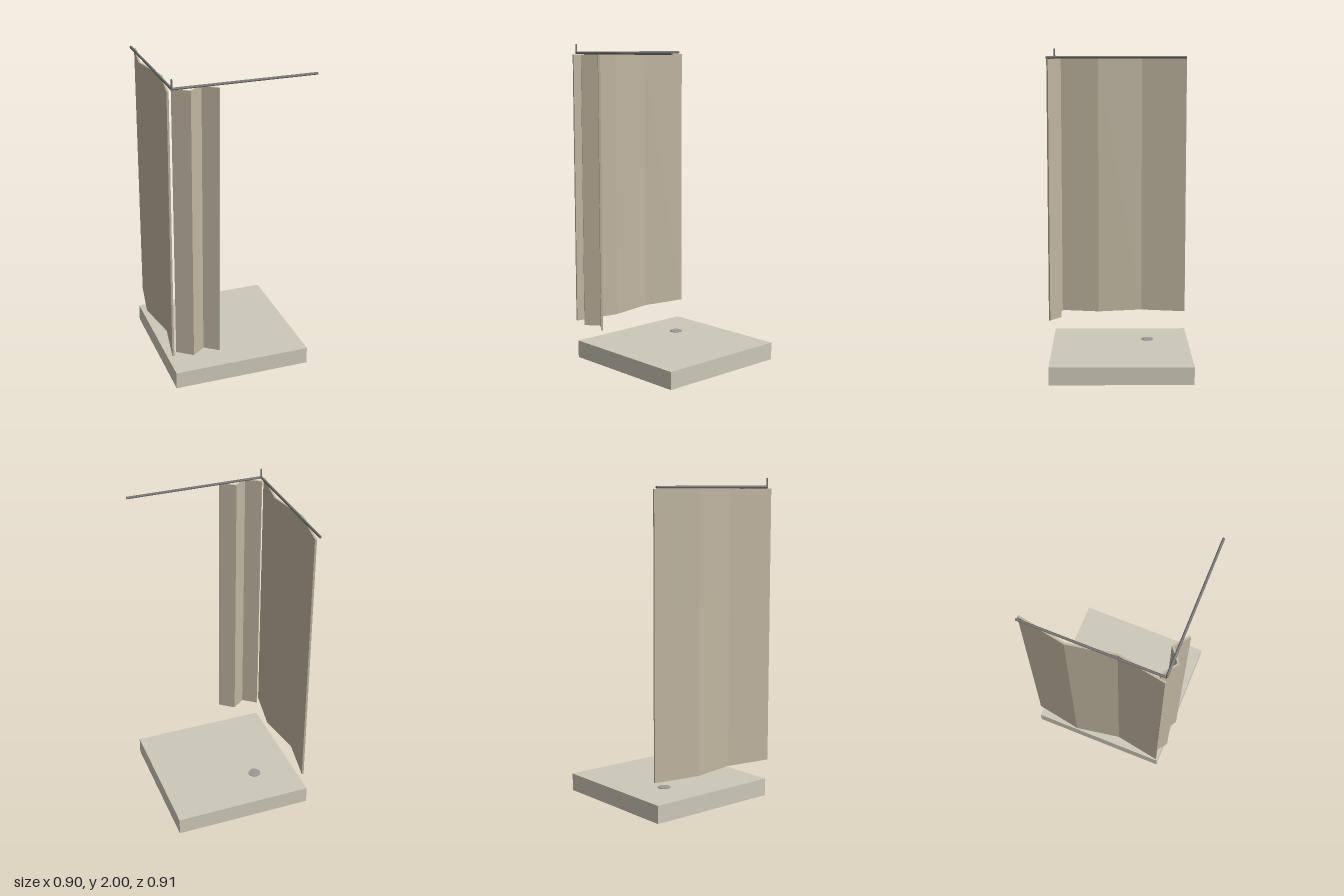
import * as THREE from 'three';

const mat = (color) => new THREE.MeshStandardMaterial({ color, flatShading: true });

// Outline of a folded sheet: the path offset to both sides with mitred folds
function foldedOutline(path, thickness) {
  const pts = path.map(([x, z]) => new THREE.Vector2(x, -z));
  const normal = (a, b) => {
    const d = b.clone().sub(a).normalize();
    return new THREE.Vector2(-d.y, d.x);
  };
  const offsets = pts.map((p, i) => {
    const n0 = normal(pts[Math.max(i - 1, 0)], pts[Math.max(i, 1)]);
    const last = pts.length - 1;
    const n1 = normal(pts[Math.min(i, last - 1)], pts[Math.min(i + 1, last)]);
    const m = n0.clone().add(n1).normalize();
    return m.multiplyScalar(thickness / 2 / m.dot(n0));
  });
  const one = pts.map((p, i) => p.clone().add(offsets[i]));
  const two = pts.map((p, i) => p.clone().sub(offsets[i]));
  return new THREE.Shape([...one, ...two.reverse()]);
}

export function createModel() {
  const group = new THREE.Group();
  const tray = mat(0xccc8b8), cloth = mat(0xbfb5a0), metal = mat(0x707070), steel = mat(0x9a9a9a);

  const add = (name, geometry, material, x = 0, y = 0, z = 0) => {
    const mesh = new THREE.Mesh(geometry, material);
    mesh.name = name;
    mesh.position.set(x, y, z);
    group.add(mesh);
    return mesh;
  };

  // Shower tray and drain
  add('tray', new THREE.BoxGeometry(0.877, 0.11, 0.877), tray, 0.011, 0.055, -0.018);
  add('drain', new THREE.CylinderGeometry(0.04, 0.04, 0.006, 12), steel, -0.164, 0.111, -0.194);

  // Curtain rails meeting at the corner, with a ceiling hanger
  const rail = (length) => new THREE.CylinderGeometry(0.008, 0.008, length, 8);
  add('frontRail', rail(0.869), metal, 0.0145, 1.945, 0.412).rotation.z = Math.PI / 2;
  add('sideRail', rail(0.869), metal, -0.419, 1.945, -0.0215).rotation.x = Math.PI / 2;
  add('hanger', new THREE.CylinderGeometry(0.005, 0.005, 0.058, 8), metal, -0.419, 1.971, 0.412);

  // Folded curtains hanging from the rails
  const curtain = (name, path) => {
    const geometry = new THREE.ExtrudeGeometry(foldedOutline(path, 0.012), { depth: 1.695, bevelEnabled: false });
    geometry.rotateX(-Math.PI / 2);
    add(name, geometry, cloth, 0, 0.24, 0);
  };
  curtain('sideCurtain', [[-0.393, -0.455], [-0.444, -0.163], [-0.394, 0.127], [-0.444, 0.418]]);
  curtain('frontCurtain', [[-0.411, 0.376], [-0.322, 0.443], [-0.24, 0.38], [-0.153, 0.446]]);

  return group;
}
